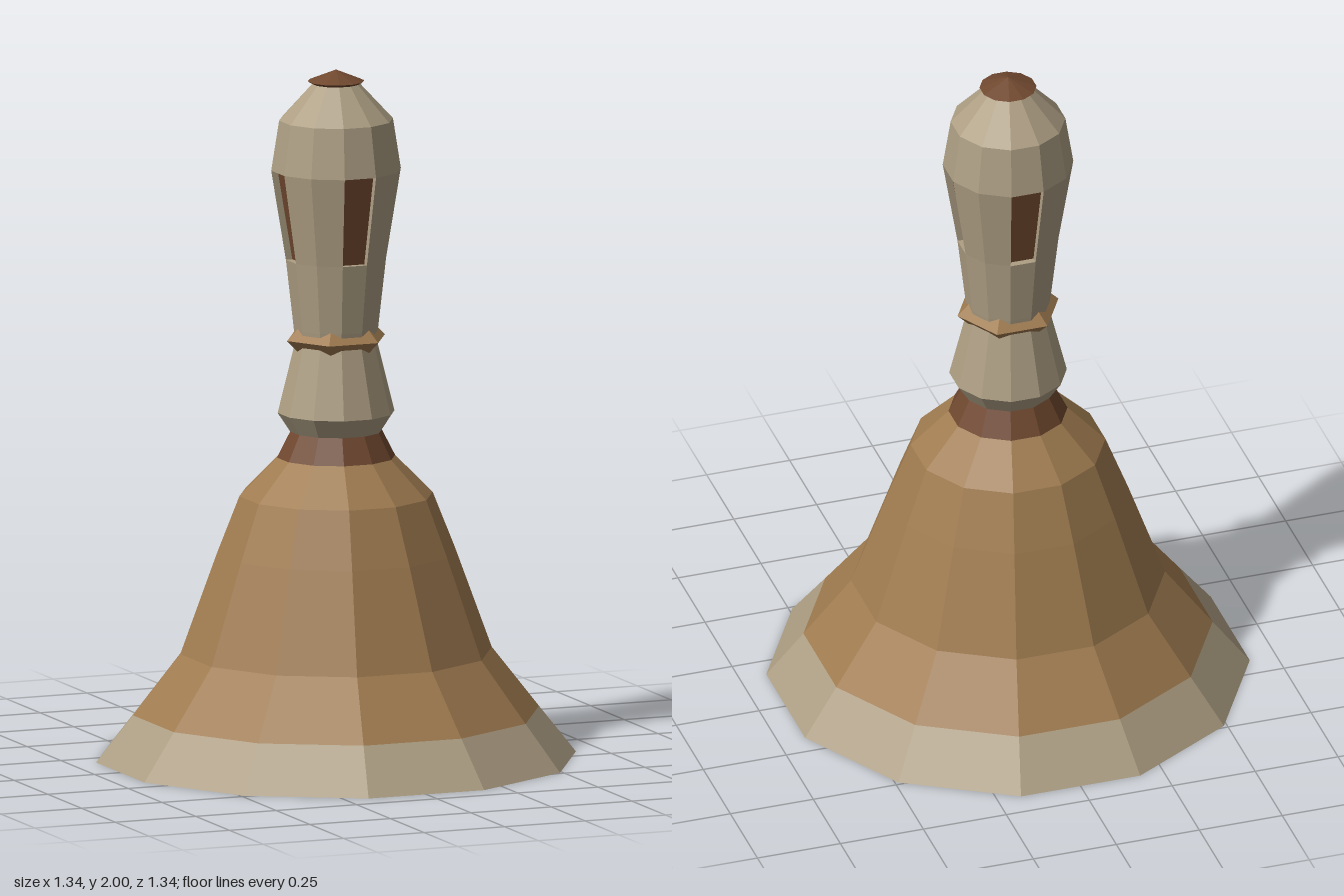
import * as THREE from 'three';

const SIDES = 12;
const HALF = Math.PI / SIDES;

const makeMaterial = (name, color) => {
  const m = new THREE.MeshStandardMaterial({ color });
  m.name = name;
  return m;
};

// Facets a geometry so every face has its own flat normal
function faceted(geometry) {
  const g = geometry.index ? geometry.toNonIndexed() : geometry;
  g.computeVertexNormals();
  return g;
}

// Twelve-sided turned shell; profile is [distance to face middle, height]
function turned(profile) {
  const points = profile.map(([r, y]) => new THREE.Vector2(r / Math.cos(HALF), y));
  return faceted(new THREE.LatheGeometry(points, SIDES, HALF, Math.PI * 2));
}

function quads(list) {
  const pos = [];
  for (const [a, b, c, d] of list) {
    for (const p of [a, b, c, a, c, d]) pos.push(p.x, p.y, p.z);
  }
  const g = new THREE.BufferGeometry();
  g.setAttribute('position', new THREE.Float32BufferAttribute(pos, 3));
  return faceted(g);
}

export function createModel() {
  const model = new THREE.Group();
  model.name = 'handBell';
  const beige = makeMaterial('paleMetal', 0xae9f84);
  const gold = makeMaterial('bronze', 0xa07c50);
  const brown = makeMaterial('darkBrown', 0x70482f);

  const add = (name, geometry, material) => {
    const mesh = new THREE.Mesh(geometry, material);
    mesh.name = name;
    model.add(mesh);
    return mesh;
  };

  // Bell: pale lip, bronze body, dark hollow inside
  add('bellLip', turned([[0.59, 0], [0.67, 0], [0.567, 0.135]]), beige);
  add('bellBody', turned([
    [0.567, 0.135], [0.435, 0.31], [0.333, 0.6], [0.27, 0.765], [0.165, 0.875],
  ]), gold);
  add('bellInside', turned([
    [0, 0.84], [0.2, 0.75], [0.27, 0.6], [0.37, 0.31], [0.59, 0],
  ]), brown);
  add('neck', turned([[0.165, 0.875], [0.128, 0.95]]), brown);

  // Handle below and above the slotted grip
  add('lowerHandle', turned([
    [0.128, 0.95], [0.163, 1.005], [0.113, 1.215], [0.118, 1.25], [0.14, 1.45],
  ]), beige);
  add('upperHandle', turned([[0.181, 1.71], [0.159, 1.855], [0.065, 1.96]]), beige);

  // Grip: plain faces, with every third face sunk into a slot
  const corner = (angle, r, y) => new THREE.Vector3(
    Math.sin(angle) * r / Math.cos(HALF), y, Math.cos(angle) * r / Math.cos(HALF));
  const gripFaces = [];
  const slotFaces = [];
  for (let k = 0; k < SIDES; k++) {
    const mid = k * 2 * HALF;
    const outer = [
      corner(mid - HALF, 0.14, 1.45), corner(mid + HALF, 0.14, 1.45),
      corner(mid + HALF, 0.181, 1.71), corner(mid - HALF, 0.181, 1.71),
    ];
    if (k % 3 !== 0) {
      gripFaces.push(outer);
      continue;
    }
    const inward = new THREE.Vector3(-Math.sin(mid), 0, -Math.cos(mid)).multiplyScalar(0.02);
    const inner = outer.map((p) => p.clone().add(inward));
    slotFaces.push(inner);
    for (let i = 0; i < 4; i++) {
      const j = (i + 1) % 4;
      gripFaces.push([outer[i], outer[j], inner[j], inner[i]]);
    }
  }
  add('grip', quads(gripFaces), beige);
  add('gripSlots', quads(slotFaces), brown);

  // Six-sided collar with a diamond section
  const collar = add('collar', faceted(new THREE.TorusGeometry(0.116, 0.036, 4, 6)), gold);
  collar.rotation.x = Math.PI / 2;
  collar.position.y = 1.22;

  // Cap on top of the handle
  add('cap', turned([[0, 1.957], [0.062, 1.957], [0.079, 1.967], [0, 2]]), brown);

  return model;
}
